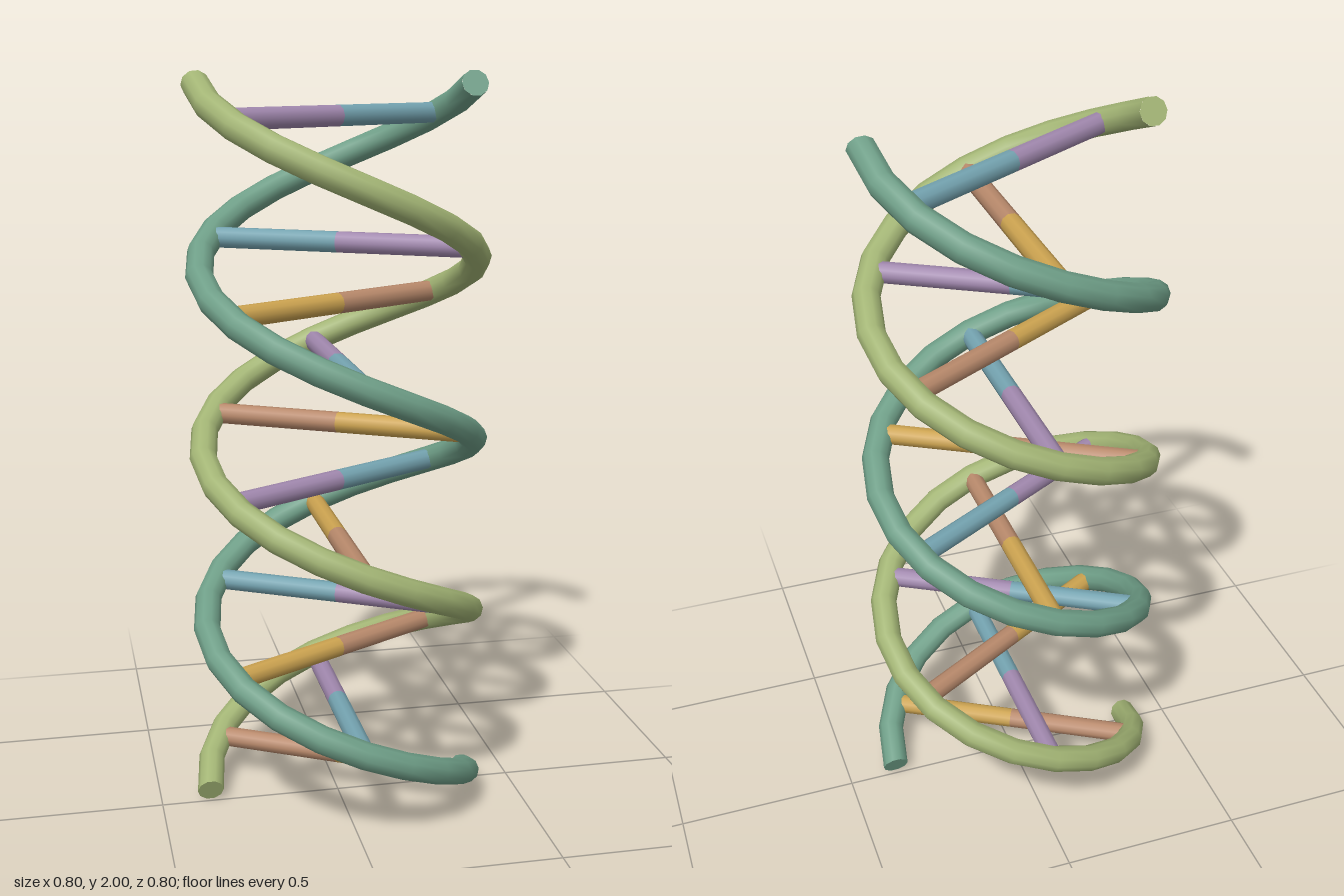
import * as THREE from 'three';

const RADIUS = 0.364, TUBE = 0.0365, BOTTOM = 0.034, HEIGHT = 1.932;
const TURNS = 2, RUNGS = 12, SEGMENTS = 40, SIDES = 10;

const material = (name, color) => {
  const m = new THREE.MeshStandardMaterial({ color });
  m.name = name;
  return m;
};

class Helix extends THREE.Curve {
  constructor(phase) {
    super();
    this.phase = phase;
  }
  getPoint(t, target = new THREE.Vector3()) {
    const a = this.phase + t * TURNS * Math.PI * 2;
    return target.set(RADIUS * Math.cos(a), BOTTOM + HEIGHT * t, RADIUS * Math.sin(a));
  }
}

// Helical strand with a flat cap on each end
function makeStrand(name, phase, mat) {
  const strand = new THREE.Group();
  strand.name = name;
  const curve = new Helix(phase);
  const tube = new THREE.Mesh(new THREE.TubeGeometry(curve, SEGMENTS, TUBE, SIDES, false), mat);
  tube.name = name + 'Tube';
  strand.add(tube);
  for (const t of [0, 1]) {
    const cap = new THREE.Mesh(new THREE.CircleGeometry(TUBE, SIDES), mat);
    const outward = curve.getTangent(t).multiplyScalar(t ? 1 : -1);
    cap.name = name + (t ? 'TopCap' : 'BottomCap');
    cap.position.copy(curve.getPoint(t));
    cap.quaternion.setFromUnitVectors(new THREE.Vector3(0, 0, 1), outward);
    strand.add(cap);
  }
  return strand;
}

export function createModel() {
  const model = new THREE.Group();
  model.name = 'doubleHelix';
  const green = material('strandGreen', 0x6f9f88);
  const olive = material('strandOlive', 0xa3b575);
  const blue = material('rungBlue', 0x74a3b0);
  const purple = material('rungPurple', 0xa188ae);
  const brown = material('rungBrown', 0xb8896b);
  const orange = material('rungOrange', 0xcca350);

  model.add(makeStrand('greenStrand', 0, green), makeStrand('oliveStrand', Math.PI, olive));

  // Two-coloured rungs, each half running from the axis into one strand
  const length = 0.345;
  const half = new THREE.CylinderGeometry(0.028, 0.028, length, SIDES);
  half.rotateZ(-Math.PI / 2).translate(length / 2, 0, 0);
  for (let i = 0; i < RUNGS; i++) {
    const t = (i + 0.5) / RUNGS;
    const rung = new THREE.Group();
    rung.name = 'rung' + (i + 1);
    rung.position.y = BOTTOM + HEIGHT * t;
    rung.rotation.y = -t * TURNS * Math.PI * 2;
    const pair = i % 2 ? [blue, purple] : [orange, brown];
    pair.forEach((mat, side) => {
      const mesh = new THREE.Mesh(half, mat);
      mesh.name = side ? 'oliveSideHalf' : 'greenSideHalf';
      mesh.rotation.y = side * Math.PI;
      rung.add(mesh);
    });
    model.add(rung);
  }
  return model;
}
